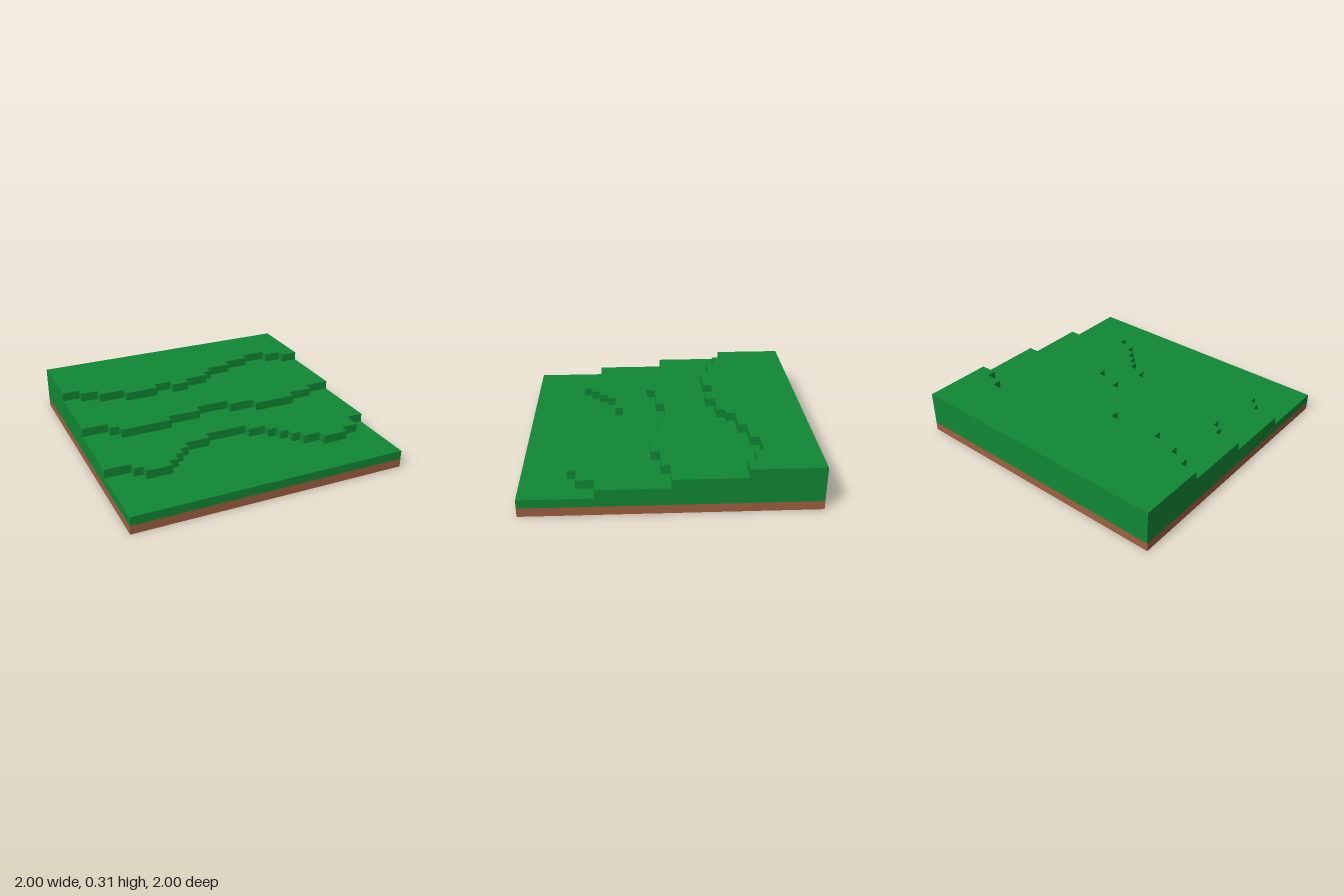
import * as THREE from 'three';

const CELL = 1 / 16; // the terrain sits on a 32 x 32 grid
const HALF = 16;

// Stepped front edges, left to right: [x where the run ends, z of the run], in cells
const TERRACES = [
  ['lowerTerrace', [[-13, 8], [-12, 9], [-9, 10], [-8, 9], [-7, 8], [-6, 7], [-3, 6], [2, 5],
    [4, 6], [5, 7], [6, 8], [7, 9], [9, 10], [12, 11], [14, 10], [16, 8]]],
  ['middleTerrace', [[-13, 0], [-12, 1], [-6, 2], [-2, 1], [2, 0], [5, 1], [10, 2], [13, 1], [16, 0]]],
  ['upperTerrace', [[-14, -8], [-12, -7], [-9, -6], [-5, -5], [-3, -6], [-1, -5], [2, -6],
    [3, -7], [6, -8], [9, -9], [12, -10], [14, -9], [16, -8]]],
];

// One-cell-thick slab from the back edge to a stepped front edge
function terraceGeometry(runs) {
  const points = [];
  let x = -HALF;
  for (const [end, z] of runs) {
    points.push(new THREE.Vector2(x, -z), new THREE.Vector2(end, -z));
    x = end;
  }
  points.push(new THREE.Vector2(HALF, HALF), new THREE.Vector2(-HALF, HALF));
  const geometry = new THREE.ExtrudeGeometry(new THREE.Shape(points), { depth: 1, bevelEnabled: false });
  return geometry.rotateX(-Math.PI / 2).scale(CELL, CELL, CELL);
}

export function createModel() {
  const model = new THREE.Group();
  model.name = 'terracedHillside';
  const grass = new THREE.MeshStandardMaterial({ color: 0x108834 });
  grass.name = 'grass green';
  const soil = new THREE.MeshStandardMaterial({ color: 0xa06040 });
  soil.name = 'soil brown';

  const addLayer = (name, geometry, material, level) => {
    const mesh = new THREE.Mesh(geometry, material);
    mesh.name = name;
    mesh.position.y = level * CELL;
    model.add(mesh);
  };

  // Full square layers: soil below, grass above
  const slab = new THREE.BoxGeometry(2, CELL, 2).translate(0, CELL / 2, 0);
  addLayer('soilBase', slab, soil, 0);
  addLayer('grassGround', slab, grass, 1);

  // Terraces climbing towards the back
  TERRACES.forEach(([name, runs], i) => addLayer(name, terraceGeometry(runs), grass, i + 2));

  return model;
}
